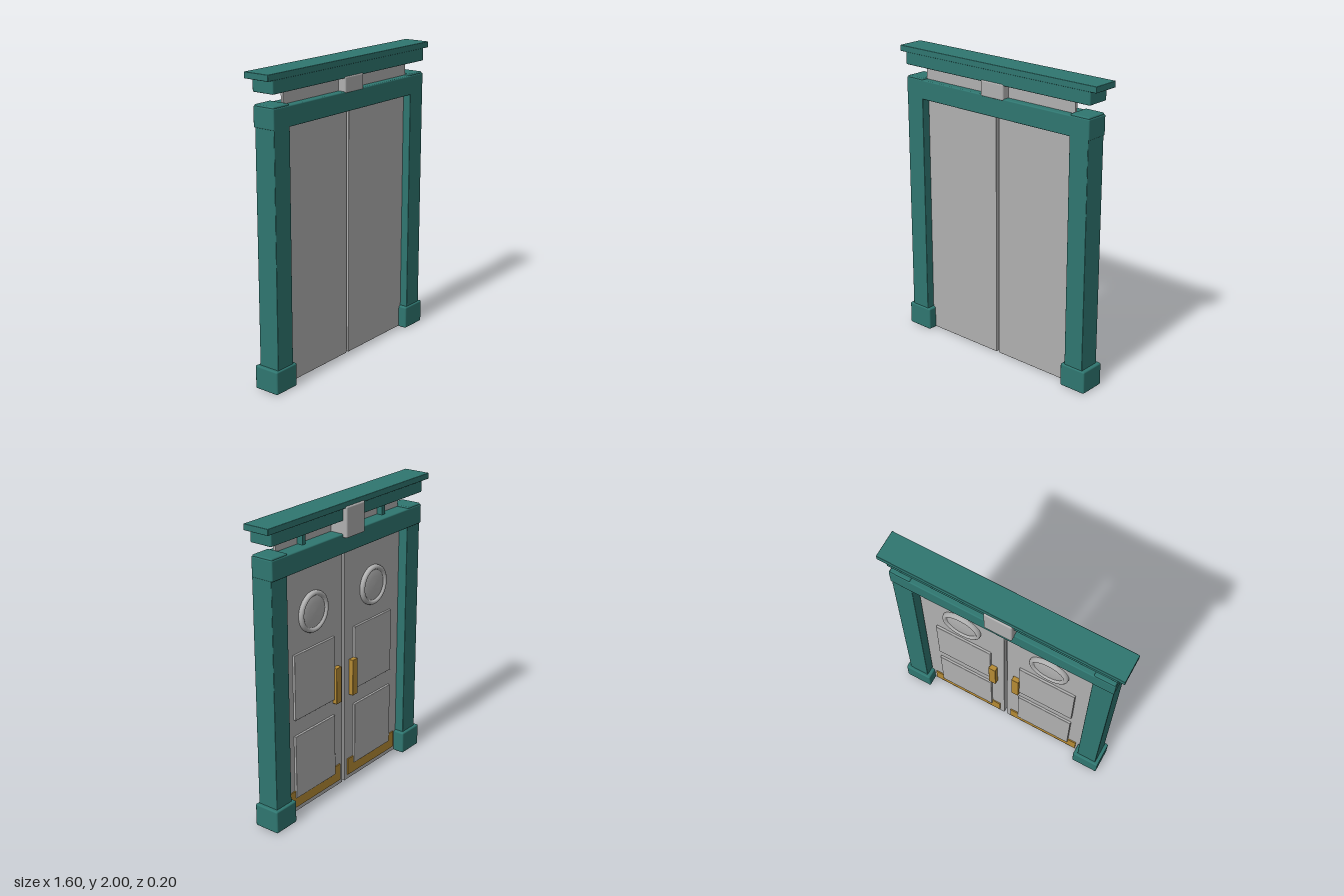
import * as THREE from 'three';
import { RoundedBoxGeometry } from 'three/addons/geometries/RoundedBoxGeometry.js';

const paint = new THREE.MeshStandardMaterial({ color: 0x2f7670 });
paint.name = 'teal paint';
const steel = new THREE.MeshStandardMaterial({ color: 0xb0b0b0 });
steel.name = 'grey panel';
const brass = new THREE.MeshStandardMaterial({ color: 0xb58a34 });
brass.name = 'brass';

// Box given by its limits on each axis, with softened edges when r > 0
function block(name, material, [x0, x1], [y0, y1], [z0, z1], r = 0) {
  const w = x1 - x0, h = y1 - y0, d = z1 - z0;
  const geometry = r ? new RoundedBoxGeometry(w, h, d, 2, r) : new THREE.BoxGeometry(w, h, d);
  const mesh = new THREE.Mesh(geometry, material);
  mesh.position.set((x0 + x1) / 2, (y0 + y1) / 2, (z0 + z1) / 2);
  mesh.name = name;
  return mesh;
}

// Round porthole on the back of a door: stepped rim around a gently domed disc
function porthole(x, y) {
  const profile = [
    [0, 0.022], [0.06, 0.021], [0.1, 0.016], [0.104, 0.013],
    [0.108, 0.022], [0.114, 0.027], [0.124, 0.027], [0.132, 0.021], [0.135, 0.012], [0.135, 0],
  ].map(([r, h]) => new THREE.Vector2(r, h)).reverse();
  const mesh = new THREE.Mesh(new THREE.LatheGeometry(profile, 48), steel);
  mesh.rotation.x = -Math.PI / 2;
  mesh.position.set(x, y, 0);
  mesh.name = 'porthole';
  return mesh;
}

export function createModel() {
  const model = new THREE.Group();
  model.name = 'doubleDoor';

  for (const s of [1, -1]) {
    const side = s > 0 ? 'left' : 'right';
    const span = (a, b) => (s > 0 ? [a, b] : [-b, -a]);

    // Frame post, its foot and the cap over the header
    const jamb = new THREE.Group();
    jamb.name = side + 'Jamb';
    jamb.add(
      block('post', paint, span(0.61, 0.75), [0.1, 1.7], [-0.06, 0.09], 0.005),
      block('foot', paint, span(0.585, 0.775), [0, 0.155], [-0.08, 0.1], 0.01),
      block('cap', paint, span(0.61, 0.748), [1.74, 1.805], [-0.065, 0.085], 0.008),
      block('cornicePeg', paint, span(0.385, 0.415), [1.78, 1.89], [-0.016, 0.026]),
    );
    model.add(jamb);

    // Door leaf, plain at the front and furnished at the back
    const door = new THREE.Group();
    door.name = side + 'Door';
    door.add(
      block('leaf', steel, span(0.01, 0.605), [0.005, 1.655], [0, 0.04], 0.004),
      block('upperPanel', steel, span(0.105, 0.505), [0.665, 1.108], [-0.016, 0.004], 0.004),
      block('lowerPanel', steel, span(0.105, 0.505), [0.11, 0.552], [-0.016, 0.004], 0.004),
      block('kickPlate', brass, span(0.043, 0.567), [0.04, 0.16], [-0.008, 0.001]),
      block('pushPlate', brass, span(0.06, 0.112), [0.635, 0.89], [-0.033, 0.002], 0.004),
      porthole(s * 0.308, 1.34),
    );
    model.add(door);
  }

  // Header, sign board and cornice
  model.add(
    block('header', paint, [-0.753, 0.753], [1.665, 1.795], [-0.07, 0.09], 0.008),
    block('friezePanel', steel, [-0.613, 0.613], [1.785, 1.89], [0.024, 0.042]),
    block('lowerCornice', paint, [-0.755, 0.755], [1.877, 1.965], [-0.07, 0.09], 0.008),
    block('upperCornice', paint, [-0.802, 0.802], [1.96, 2], [-0.09, 0.095], 0.004),
  );

  // Keystone: low block showing at the front, taller plate at the back
  model.add(
    block('keystoneBlock', steel, [-0.093, 0.093], [1.785, 1.889], [-0.09, 0.095], 0.01),
    block('keystonePlate', steel, [-0.093, 0.093], [1.77, 1.97], [-0.1, -0.06], 0.01),
  );

  return model;
}
